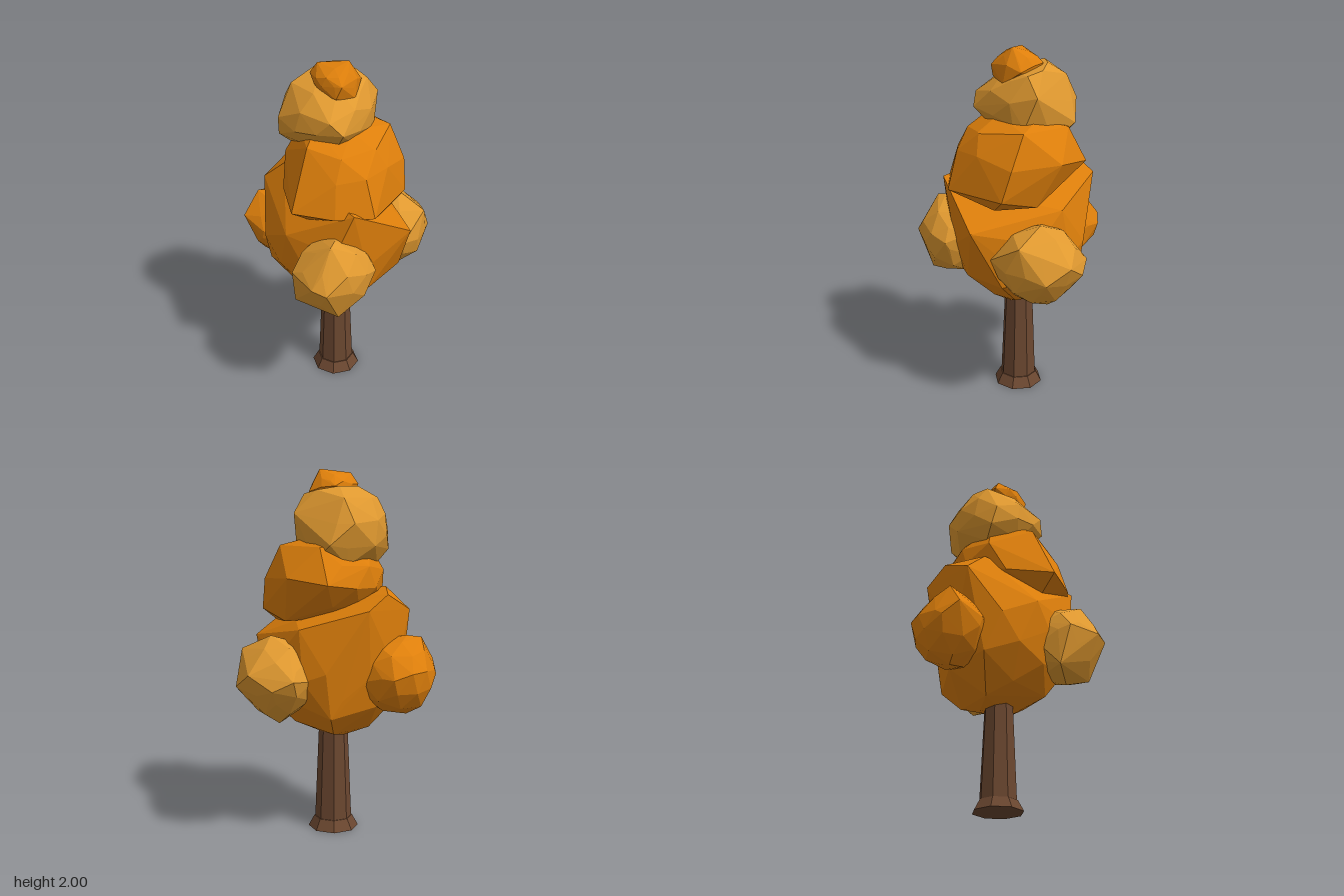
import * as THREE from 'three';
import { ConvexGeometry } from 'three/addons/geometries/ConvexGeometry.js';

// Faceted foliage clump: the hull of a jittered ellipsoid and a few outstanding corners
function clump(center, radii, seed, corners) {
  const pos = new THREE.IcosahedronGeometry(1, 1).attributes.position;
  const c = new THREE.Vector3(...center);
  const r = new THREE.Vector3(...radii);
  const turn = new THREE.Euler(seed * 0.37, seed * 0.73, 0);
  const points = corners.map((p) => new THREE.Vector3(...p));
  const seen = new Set();
  let s = seed;
  for (let i = 0; i < pos.count; i++) {
    const d = new THREE.Vector3().fromBufferAttribute(pos, i);
    const key = d.toArray().map((v) => Math.round(v * 100)).join();
    if (seen.has(key)) continue;
    seen.add(key);
    s = (s * 16807) % 2147483647;
    const size = 0.93 + (s / 2147483647) * 0.07;
    points.push(d.applyEuler(turn).multiplyScalar(size).multiply(r).add(c));
  }
  return new ConvexGeometry(points);
}

export function createModel() {
  const group = new THREE.Group();
  const material = (name, color) => {
    const m = new THREE.MeshStandardMaterial({ color });
    m.name = name;
    return m;
  };
  const orange = material('deep orange leaves', 0xde7f0b);
  const amber = material('amber leaves', 0xe09930);
  const bark = material('bark', 0x6b4730);

  const add = (name, geo, mat) => {
    const mesh = new THREE.Mesh(geo, mat);
    mesh.name = name;
    group.add(mesh);
    return mesh;
  };

  // Trunk and flared foot, eight flat sides
  const column = (name, top, bottom, y0, y1) => {
    const geo = new THREE.CylinderGeometry(top, bottom, y1 - y0, 8).toNonIndexed();
    geo.computeVertexNormals();
    const mesh = add(name, geo, bark);
    mesh.position.set(-0.005, (y0 + y1) / 2, -0.085);
    mesh.rotation.y = -0.09;
  };
  column('trunkFoot', 0.107, 0.14, 0, 0.06);
  column('trunk', 0.077, 0.102, 0.06, 0.66);

  // Large lower crown
  add('lowerCrown', clump([0, 0.92, -0.08], [0.38, 0.36, 0.37], 5, [
    [-0.41, 1.25, -0.19], [0.41, 1.08, 0.11], [-0.14, 1.28, -0.48],
    [0.1, 1.29, 0.32], [-0.4, 0.97, 0.0], [0.08, 0.95, -0.455],
    [0.36, 0.76, -0.05], [0.21, 1.17, -0.35], [-0.2, 0.58, -0.12],
    [0.07, 0.55, -0.05], [-0.27, 1.08, 0.17], [0.21, 0.62, -0.1],
    [-0.26, 1.35, -0.35], [-0.29, 1.37, -0.12], [0.0, 1.05, 0.32],
    [0.03, 0.77, 0.27], [-0.38, 0.76, -0.1], [0.0, 0.63, 0.17],
    [-0.05, 0.555, -0.18], [0.02, 0.59, -0.3], [0.05, 0.7, -0.42],
  ]), orange);

  // Middle crown
  add('middleCrown', clump([0.03, 1.42, -0.07], [0.3, 0.235, 0.34], 11, [
    [-0.23, 1.27, 0.26], [0.21, 1.25, 0.27], [0.0, 1.26, 0.31],
    [0.38, 1.25, -0.05], [0.37, 1.42, -0.1], [0.29, 1.6, -0.15],
    [-0.29, 1.28, 0.0], [-0.28, 1.46, -0.1], [0.07, 1.41, -0.455],
    [-0.11, 1.65, 0.02], [0.08, 1.64, 0.02], [0.21, 1.57, 0.1],
    [-0.15, 1.59, 0.13], [0.3, 1.18, 0.0], [-0.15, 1.19, 0.18],
    [0.15, 1.64, -0.2], [0.1, 1.6, -0.36], [-0.2, 1.6, -0.1],
    [0.27, 1.44, -0.35], [0.27, 1.2, -0.22], [0.2, 1.21, 0.16],
  ]), orange);

  // Upper crown
  add('upperCrown', clump([-0.045, 1.69, -0.12], [0.255, 0.22, 0.26], 3, [
    [-0.31, 1.68, -0.05], [-0.31, 1.57, -0.08], [0.22, 1.77, -0.21],
    [0.2, 1.6, -0.14], [0.05, 1.61, -0.39], [-0.08, 1.72, -0.38],
    [0.04, 1.67, 0.16], [-0.03, 1.74, 0.16], [-0.24, 1.85, -0.12],
    [-0.12, 1.91, -0.2], [0.1, 1.89, -0.22], [0.16, 1.87, -0.15],
    [-0.03, 1.85, -0.33], [-0.02, 1.91, -0.23], [-0.24, 1.5, -0.12],
    [-0.05, 1.5, -0.31], [0.12, 1.52, -0.28], [-0.2, 1.6, -0.3],
  ]), amber);

  // Small tip
  add('crownTip', clump([-0.005, 1.895, -0.07], [0.125, 0.09, 0.125], 7, [
    [0.065, 2.0, -0.055], [-0.1, 1.98, -0.08], [-0.14, 1.92, -0.09],
    [0.13, 1.88, -0.11], [0.03, 1.9, 0.065], [0.0, 1.83, 0.06],
    [0.1, 1.81, -0.01], [0.0, 1.91, -0.21],
  ]), orange);

  // Three side clumps around the lower crown
  add('frontClump', clump([-0.005, 0.915, 0.27], [0.215, 0.225, 0.215], 13, [
    [-0.04, 0.91, 0.51], [-0.23, 0.95, 0.34], [-0.22, 0.73, 0.28], [0.0, 1.15, 0.33],
    [0.22, 0.94, 0.29], [-0.12, 0.93, 0.48], [-0.03, 0.68, 0.29], [0.17, 0.97, 0.38],
    [-0.02, 1.14, 0.38], [0.02, 0.71, 0.41],
  ]), amber);
  add('leftClump', clump([0.31, 0.9, -0.235], [0.215, 0.22, 0.24], 17, [
    [0.54, 0.87, -0.31], [0.48, 0.95, -0.43], [0.25, 0.92, -0.49], [0.36, 0.87, -0.48],
    [0.31, 0.66, -0.29], [0.5, 1.05, -0.16], [0.35, 1.13, -0.25], [0.38, 0.93, 0.01],
  ]), amber);
  add('rightClump', clump([-0.32, 0.9, -0.29], [0.215, 0.215, 0.21], 19, [
    [-0.54, 0.91, -0.29], [-0.27, 0.92, -0.51], [-0.37, 0.95, -0.5], [-0.46, 1.11, -0.27],
    [-0.38, 0.69, -0.28], [-0.54, 0.98, -0.2], [-0.42, 0.93, -0.1], [-0.38, 1.12, -0.27],
  ]), orange);

  return group;
}
